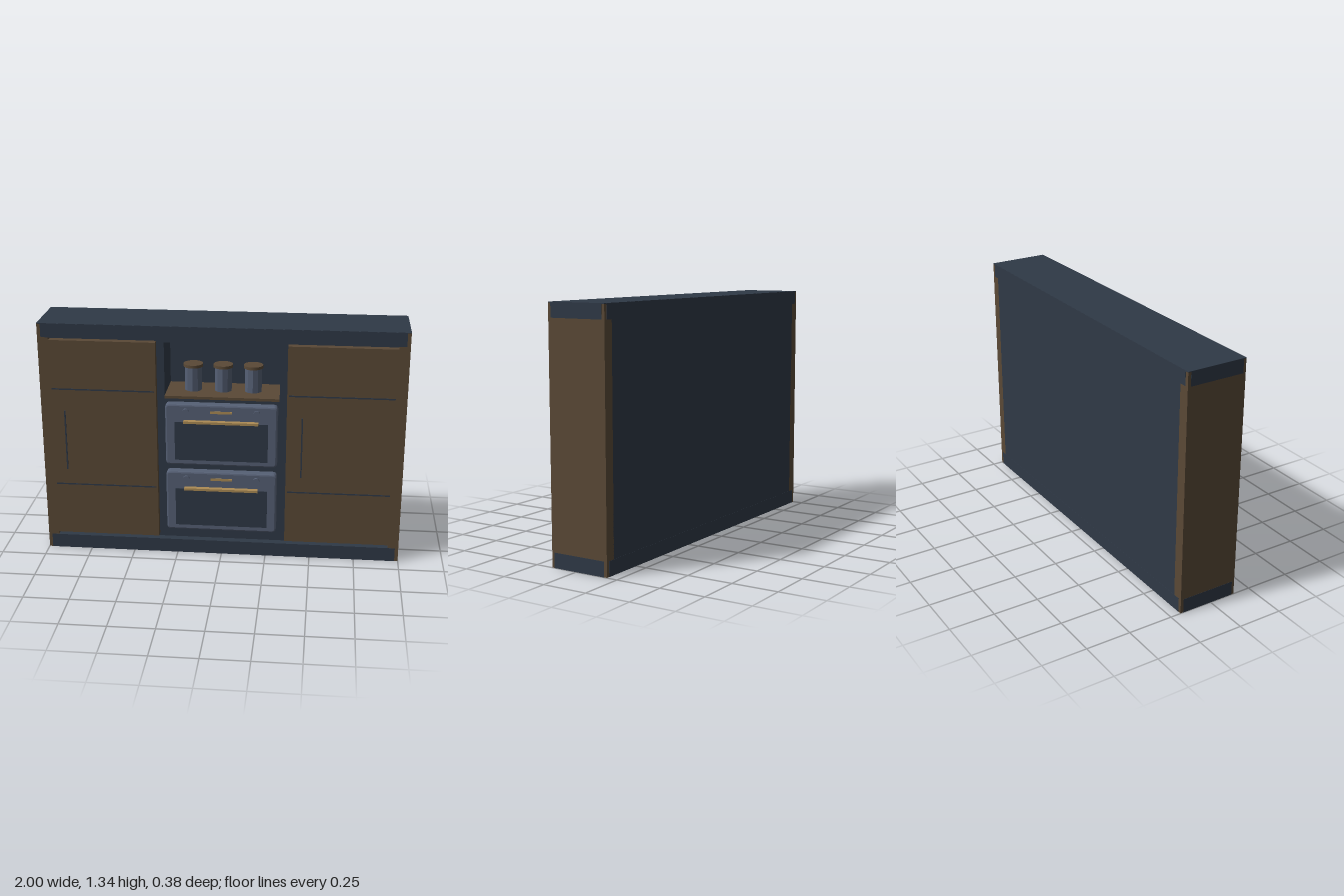
import * as THREE from 'three';

const mat = (name, color) => {
  const m = new THREE.MeshStandardMaterial({ color });
  m.name = name;
  return m;
};

export function createModel() {
  const wood = mat('brown wood', 0x5a4936);
  const navy = mat('dark navy', 0x2f3946);
  const slate = mat('slate grey', 0x566075);
  const brass = mat('brass', 0xac8b54);
  const model = new THREE.Group();
  model.name = 'kitchenWall';

  const add = (parent, name, geometry, material) => {
    const mesh = new THREE.Mesh(geometry, material);
    mesh.name = name;
    parent.add(mesh);
    return mesh;
  };
  // Box given by its limits on each axis
  const box = (parent, name, material, [x0, x1], [y0, y1], [z0, z1]) => {
    const g = new THREE.BoxGeometry(x1 - x0, y1 - y0, z1 - z0);
    g.translate((x0 + x1) / 2, (y0 + y1) / 2, (z0 + z1) / 2);
    return add(parent, name, g, material);
  };

  const H = 1.335, back = -0.19, front = 0.15;

  // Plinth and cornice, with the wooden corners left showing
  for (const [name, y0, y1] of [['plinth', 0, 0.08], ['cornice', 1.258, H]]) {
    box(model, name, navy, [-0.98, 0.98], [y0, y1], [back - 0.001, front + 0.001]);
    box(model, name + 'Ends', navy, [-1, 1], [y0, y1], [-0.173, 0.135]);
  }
  box(model, 'topBoard', navy, [-1, 1], [H - 0.003, H + 0.001], [back, front]);
  box(model, 'backPanel', navy, [-0.945, 0.945], [0.08, 1.258], [back, -0.13]);

  // Side panels and cupboards
  for (const s of [-1, 1]) {
    const span = (a, b) => (s > 0 ? [a, b] : [-b, -a]);
    box(model, 'sidePanel', wood, span(0.94, 0.999), [0.0005, H - 0.003], [back, front]);
    box(model, 'cupboardCarcass', navy, span(0.357, 0.94), [0.08, 1.258], [-0.13, 0.11]);
    box(model, 'cupboardDoor', wood, span(0.357, 0.94), [0.097, 1.243], [0.11, front]);
    for (const y of [0.4, 0.965])
      box(model, 'doorGroove', navy, span(0.367, 0.936), [y - 0.004, y + 0.004], [front - 0.002, front + 0.001]);
    const hx = s > 0 ? 0.442 : -0.868;
    box(model, 'doorHandle', navy, [hx - 0.004, hx + 0.004], [0.49, 0.84], [front - 0.002, front + 0.004]);
    // Upright beside the open niche
    box(model, 'nicheUpright', navy, span(0.315, 0.357), [0.92, 1.258], [-0.13, 0.11]);
  }

  // Oven column and niche
  box(model, 'ovenColumn', navy, [-0.357, 0.357], [0.08, 0.92], [-0.13, 0.11]);
  box(model, 'nicheTop', navy, [-0.315, 0.315], [1.235, 1.258], [-0.13, 0.11]);
  box(model, 'nicheShelf', wood, [-0.315, 0.315], [0.92, 0.935], [-0.13, 0.12]);
  box(model, 'nicheLightStrip', brass, [-0.29, 0.29], [1.199, 1.209], [-0.13, -0.115]);

  // Lidded canisters
  for (const x of [-0.17, -0.004, 0.163]) {
    const canister = new THREE.Group();
    canister.name = 'canister';
    canister.position.set(x, 0.935, -0.01);
    const bodyMat = add(canister, 'canisterBody', new THREE.CylinderGeometry(0.048, 0.048, 0.135, 10).toNonIndexed(), slate);
    bodyMat.geometry.computeVertexNormals();
    bodyMat.position.y = 0.0675;
    add(canister, 'canisterLid', new THREE.CylinderGeometry(0.054, 0.054, 0.016, 20), wood).position.y = 0.143;
    model.add(canister);
  }

  // Oven face with rounded corners and a bevelled rim
  const faceGeometry = () => {
    const w = 0.299, h = 0.168, c = 0.014;
    const s = new THREE.Shape();
    s.moveTo(-w + c, -h);
    s.lineTo(w - c, -h);
    s.quadraticCurveTo(w, -h, w, -h + c);
    s.lineTo(w, h - c);
    s.quadraticCurveTo(w, h, w - c, h);
    s.lineTo(-w + c, h);
    s.quadraticCurveTo(-w, h, -w, h - c);
    s.lineTo(-w, -h + c);
    s.quadraticCurveTo(-w, -h, -w + c, -h);
    return new THREE.ExtrudeGeometry(s, {
      depth: 0.038, bevelSize: 0.01, bevelThickness: 0.01, bevelSegments: 2, curveSegments: 4,
    });
  };

  // Two stacked ovens
  for (const y of [0.325, 0.722]) {
    const oven = new THREE.Group();
    oven.name = 'oven';
    oven.position.set(0, y, 0);
    add(oven, 'ovenFace', faceGeometry(), slate).position.z = 0.109;
    box(oven, 'ovenWindow', navy, [-0.257, 0.257], [-0.147, 0.076], [0.155, 0.159]);
    box(oven, 'ovenDisplay', brass, [-0.06, 0.06], [0.13, 0.144], [0.155, 0.16]);
    box(oven, 'ovenHandle', brass, [-0.205, 0.205], [0.079, 0.092], [0.163, 0.19]);
    for (const x of [-0.195, 0.195]) {
      const knob = add(oven, 'ovenKnob', new THREE.CylinderGeometry(0.018, 0.018, 0.014, 20), slate);
      knob.rotation.x = Math.PI / 2;
      knob.position.set(x, 0.138, 0.161);
    }
    model.add(oven);
  }

  return model;
}
